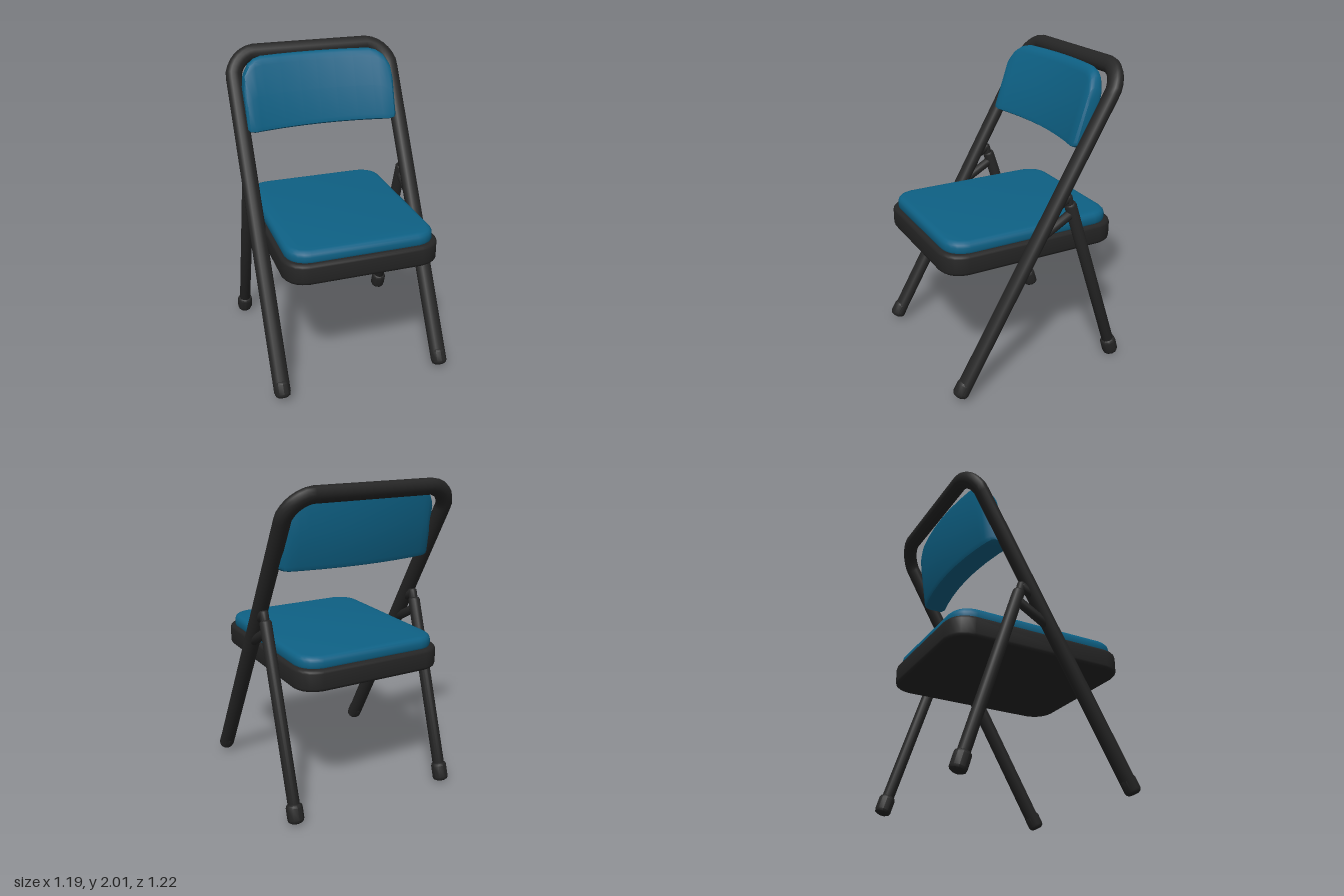
import * as THREE from 'three';
import { toCreasedNormals } from 'three/addons/utils/BufferGeometryUtils.js';

const V = (x, y, z) => new THREE.Vector3(x, y, z);

// Slab lying flat with cut, slightly rounded corners and a bevelled rim
function slab(halfX, halfZ, corner, y0, y1, bevel) {
  const x = halfX - bevel, z = halfZ - bevel, c = corner;
  const s = new THREE.Shape();
  s.moveTo(-x + c, -z);
  s.lineTo(x - c, -z).quadraticCurveTo(x - c * 0.1, -z + c * 0.1, x, -z + c);
  s.lineTo(x, z - c).quadraticCurveTo(x - c * 0.1, z - c * 0.1, x - c, z);
  s.lineTo(-x + c, z).quadraticCurveTo(-x + c * 0.1, z - c * 0.1, -x, z - c);
  s.lineTo(-x, -z + c).quadraticCurveTo(-x + c * 0.1, -z + c * 0.1, -x + c, -z);
  const g = new THREE.ExtrudeGeometry(s, {
    depth: y1 - y0 - 2 * bevel, bevelEnabled: true, bevelSize: bevel,
    bevelThickness: bevel, bevelSegments: 3, curveSegments: 5,
  });
  g.rotateX(-Math.PI / 2).translate(0, y0 + bevel, 0.01);
  return toCreasedNormals(g, 0.6);
}

// Curved, tapering back pad lofted from side-profile loops across x
function backPad() {
  const xs = [-0.508, -0.495, -0.46, -0.42, -0.37, -0.25, -0.12, 0,
    0.12, 0.25, 0.37, 0.42, 0.46, 0.495, 0.508];
  // loop of [height fraction, depth fraction: 0 front, 1 back]
  const loop = [[0, 0.2], [0.03, 0.04], [0.09, 0], [0.5, 0], [0.9, 0], [0.97, 0.1], [1, 0.35],
    [1, 0.65], [0.97, 0.9], [0.9, 1], [0.5, 1], [0.08, 1], [0.02, 0.95], [0, 0.8]];
  const n = loop.length, pos = [], idx = [];
  for (const x of xs) {
    const a = Math.abs(x);
    const t = Math.max(0, (a - 0.36) / 0.148);
    const top = 1.955 - 0.15 * (1 - Math.sqrt(Math.max(0, 1 - t * t)));
    const inset = a > 0.5 ? 0.18 : a > 0.49 ? 0.06 : 0;
    const bow = 0.24 * x * x;
    for (const [h, d] of loop) {
      const y = 1.505 + (top - 1.505) * (inset * 0.3 + h * (1 - inset * 0.6));
      const k = (y - 1.505) / 0.45;
      const front = -0.262 - 0.155 * k, back = -0.43 - 0.06 * k;
      const depth = inset + d * (1 - 2 * inset);
      pos.push(x, y, front + (back - front) * depth + bow);
    }
  }
  for (let i = 0; i < xs.length - 1; i++) {
    for (let j = 0; j < n; j++) {
      const a = i * n + j, b = i * n + (j + 1) % n;
      idx.push(a, a + n, b, b, a + n, b + n);
    }
  }
  const last = (xs.length - 1) * n;
  for (let j = 1; j < n - 1; j++) {
    idx.push(0, j, j + 1, last, last + j + 1, last + j);
  }
  const g = new THREE.BufferGeometry();
  g.setAttribute('position', new THREE.Float32BufferAttribute(pos, 3));
  g.setIndex(idx);
  return toCreasedNormals(g, 0.7);
}

// Closed rod with rounded ends between two points
function rod(a, b, r, sides = 14) {
  const len = a.distanceTo(b), c = r * 0.45;
  const profile = [[0, 0], [r * 0.6, 0], [r * 0.9, c * 0.4], [r, c],
    [r, len - c], [r * 0.9, len - c * 0.4], [r * 0.6, len], [0, len]]
    .map(([x, y]) => new THREE.Vector2(x, y));
  const g = new THREE.LatheGeometry(profile, sides);
  const dir = b.clone().sub(a).normalize();
  g.applyQuaternion(new THREE.Quaternion().setFromUnitVectors(V(0, 1, 0), dir));
  g.translate(a.x, a.y, a.z);
  return toCreasedNormals(g, 0.7);
}

export function createModel() {
  const metal = new THREE.MeshStandardMaterial({ color: 0x252525 });
  metal.name = 'black metal';
  const fabric = new THREE.MeshStandardMaterial({ color: 0x0e6185 });
  fabric.name = 'blue padding';

  const chair = new THREE.Group();
  chair.name = 'foldingChair';
  const add = (name, geometry, material) => {
    const m = new THREE.Mesh(geometry, material);
    m.name = name;
    chair.add(m);
    return m;
  };

  // Seat pan, cushion and back pad
  add('seatPan', slab(0.5, 0.6, 0.12, 0.83, 0.965, 0.022), metal);
  add('seatCushion', slab(0.475, 0.57, 0.1, 0.94, 1.035, 0.035), fabric);
  add('backPad', backPad(), fabric);

  // Front legs and top rail: one bent tube, drawn flat and then leaned back
  const X = 0.541, TOP = 2.19, R = 0.14;
  const path = new THREE.CurvePath();
  path.add(new THREE.LineCurve3(V(-X, 0, 0), V(-X, TOP - R, 0)));
  path.add(new THREE.QuadraticBezierCurve3(V(-X, TOP - R, 0), V(-X + 0.03, TOP - 0.03, 0), V(-X + R, TOP, 0)));
  path.add(new THREE.LineCurve3(V(-X + R, TOP, 0), V(X - R, TOP, 0)));
  path.add(new THREE.QuadraticBezierCurve3(V(X - R, TOP, 0), V(X - 0.03, TOP - 0.03, 0), V(X, TOP - R, 0)));
  path.add(new THREE.LineCurve3(V(X, TOP - R, 0), V(X, 0, 0)));
  const tube = new THREE.TubeGeometry(path, 150, 0.053, 14, false);
  tube.scale(1, 1, 0.82);
  const frame = add('frontFrame', tube, metal);
  frame.position.set(0, 0.06, 0.56);
  frame.rotation.x = -0.52;

  // Rear legs, hinge links and feet on both sides
  for (const [side, x] of [['left', X], ['right', -X]]) {
    add(side + 'RearLeg', rod(V(x, 0.05, -0.555), V(x, 1.185, -0.185), 0.038), metal);
    add(side + 'UpperLink', rod(V(x, 1.17, -0.09), V(x, 1.225, -0.175), 0.03), metal);
    add(side + 'LinkTab', rod(V(x, 1.24, -0.165), V(x, 1.13, -0.195), 0.028), metal);
    add(side + 'LowerLink', rod(V(x, 0.995, 0.01), V(x, 1.12, -0.21), 0.03), metal);
    add(side + 'FrontFoot', rod(V(x, 0.035, 0.578), V(x, 0.13, 0.525), 0.05, 10), metal);
    add(side + 'RearFoot', rod(V(x, 0.008, -0.567), V(x, 0.125, -0.531), 0.052, 10), metal);
  }
  return chair;
}
